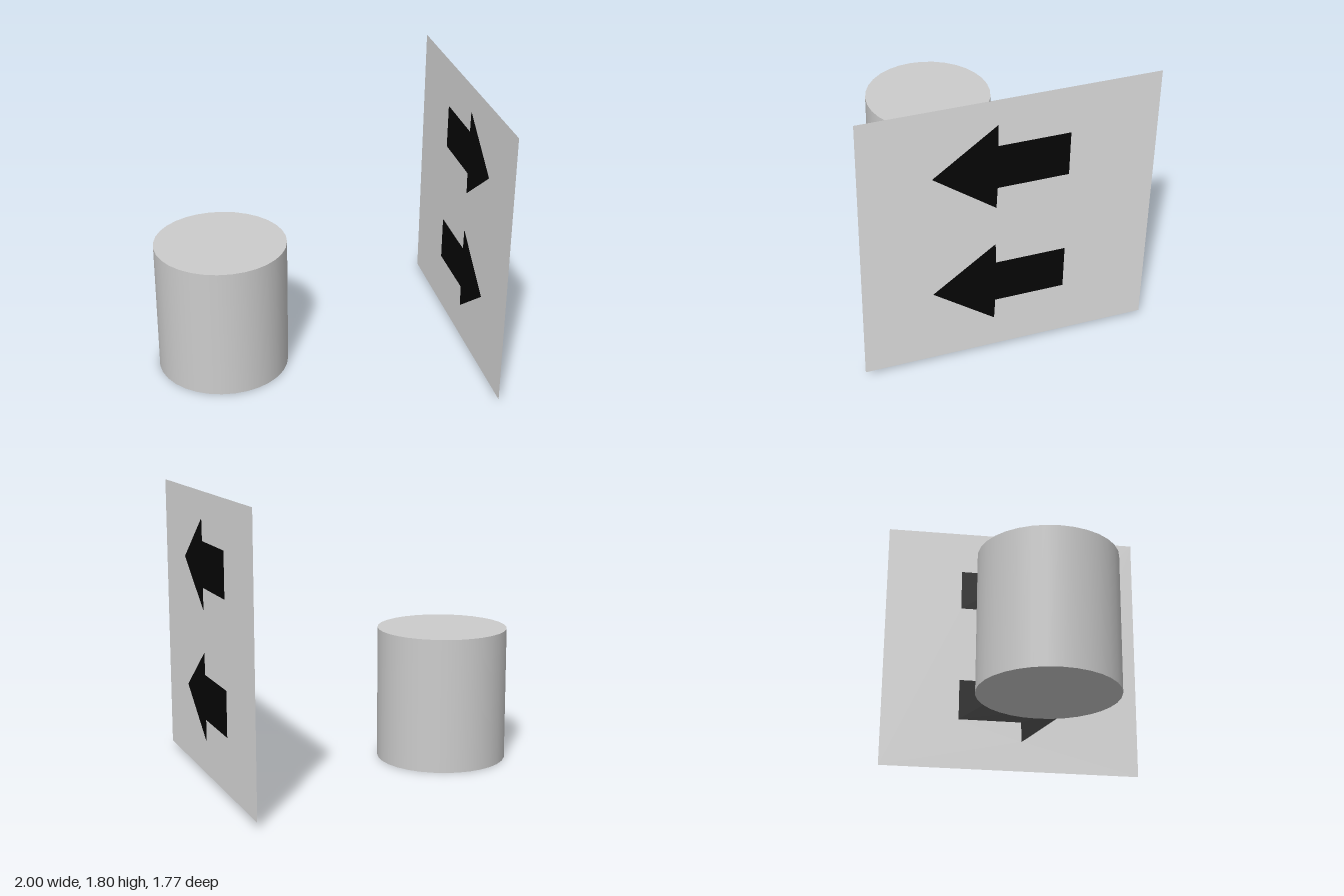
import * as THREE from 'three';

const flat = (name, color, side = THREE.FrontSide) => {
  const m = new THREE.MeshStandardMaterial({ color, side });
  m.name = name;
  return m;
};

// Outline of an arrow pointing towards +z, centred on height y
const arrowPoints = (y) => [
  [0.46, 0], [0.08, 0.282], [0.075, 0.143], [-0.355, 0.143],
  [-0.355, -0.143], [0.075, -0.143], [0.08, -0.282],
].map(([z, dy]) => new THREE.Vector2(z, y + dy));

export function createModel() {
  const group = new THREE.Group();
  const drumGrey = flat('drum grey', 0xcccccc);
  const panelGrey = flat('panel light grey', 0xdcdcdc, THREE.DoubleSide);
  const arrowBlack = flat('arrow black', 0x050505, THREE.DoubleSide);

  const add = (name, geometry, material) => {
    const mesh = new THREE.Mesh(geometry, material);
    mesh.name = name;
    group.add(mesh);
    return mesh;
  };

  // Closed drum standing on the ground
  add('drum', new THREE.CylinderGeometry(0.42, 0.42, 0.86, 32), drumGrey)
    .position.set(-0.58, 0.43, 0);

  // Flat sheet in the plane x = 1; shape x becomes model z
  const addSheet = (name, shape, material) => {
    const geometry = new THREE.ShapeGeometry(shape).rotateY(-Math.PI / 2);
    add(name, geometry, material).position.x = 1;
  };

  // Panel with arrow-shaped openings, each filled by a black arrow
  const half = 0.885;
  const panel = new THREE.Shape([
    new THREE.Vector2(-half, 0.035), new THREE.Vector2(half, 0.035),
    new THREE.Vector2(half, 1.8), new THREE.Vector2(-half, 1.8),
  ]);
  for (const [name, y] of [['upperArrow', 1.354], ['lowerArrow', 0.527]]) {
    const points = arrowPoints(y);
    panel.holes.push(new THREE.Path(points));
    addSheet(name, new THREE.Shape(points), arrowBlack);
  }
  addSheet('signPanel', panel, panelGrey);

  return group;
}
